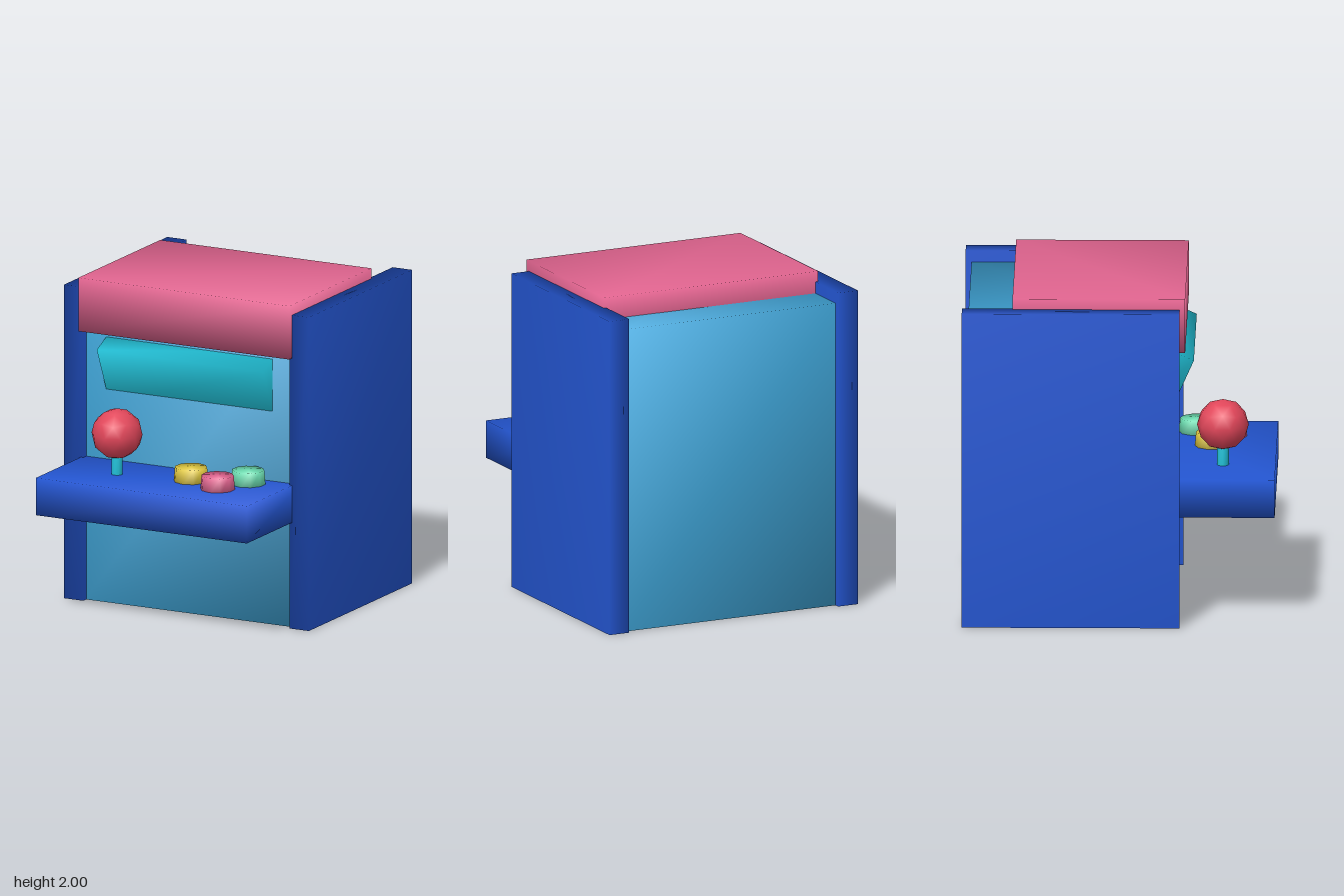
import * as THREE from 'three';
import { mergeVertices } from 'three/addons/utils/BufferGeometryUtils.js';

const mat = (name, color) => {
  const m = new THREE.MeshStandardMaterial({ color });
  m.name = name;
  return m;
};

// Weld shared corners so the normals run smoothly over every edge
function smooth(geometry) {
  geometry.deleteAttribute('normal');
  geometry.deleteAttribute('uv');
  const welded = mergeVertices(geometry, 1e-4);
  welded.computeVertexNormals();
  return welded;
}

export function createModel() {
  const group = new THREE.Group();
  group.name = 'arcadeCabinet';

  const blue = mat('royal blue', 0x2456d2);
  const sky = mat('sky blue', 0x41a9dd);
  const pink = mat('pink', 0xe0648f);
  const cyan = mat('cyan', 0x22c5dc);
  const red = mat('red', 0xe2465a);
  const yellow = mat('yellow', 0xe0c840);
  const mint = mat('mint green', 0x6cdcb0);

  const add = (name, geometry, material, x, y, z) => {
    const mesh = new THREE.Mesh(smooth(geometry), material);
    mesh.name = name;
    mesh.position.set(x, y, z);
    group.add(mesh);
    return mesh;
  };

  // Box given by its extents
  const box = (name, material, [x0, x1], [y0, y1], [z0, z1]) =>
    add(name, new THREE.BoxGeometry(x1 - x0, y1 - y0, z1 - z0), material,
      (x0 + x1) / 2, (y0 + y1) / 2, (z0 + z1) / 2);

  // Cabinet
  box('body', sky, [-0.71, 0.71], [0, 1.865], [-0.9, 0.33]);
  box('leftSidePanel', blue, [0.7, 0.832], [0, 1.936], [-0.935, 0.367]);
  box('rightSidePanel', blue, [-0.832, -0.7], [0, 1.936], [-0.935, 0.367]);
  box('marquee', pink, [-0.717, 0.717], [1.67, 2], [-0.633, 0.4]);
  box('controlDeck', blue, [-0.717, 0.717], [0.655, 0.885], [0.2, 0.935]);

  // Screen leaning forward at the top
  const screen = add('screen', new THREE.BoxGeometry(1.13, 0.4, 0.2), cyan, 0, 1.443, 0.277);
  screen.rotation.x = THREE.MathUtils.degToRad(24);

  // Joystick
  add('joystickStem', new THREE.CylinderGeometry(0.035, 0.035, 0.25, 8), cyan, -0.335, 0.975, 0.62);
  const ball = new THREE.IcosahedronGeometry(0.155, 1).rotateZ(-0.5536);
  add('joystickBall', ball, red, -0.335, 1.135, 0.62);

  // Buttons
  const buttons = [
    ['yellowButton', yellow, 0.13, 0.55],
    ['pinkButton', pink, 0.365, 0.65],
    ['mintButton', mint, 0.465, 0.45],
  ];
  for (const [name, material, x, z] of buttons) {
    add(name, new THREE.CylinderGeometry(0.098, 0.106, 0.1, 10), material, x, 0.92, z);
  }

  return group;
}
